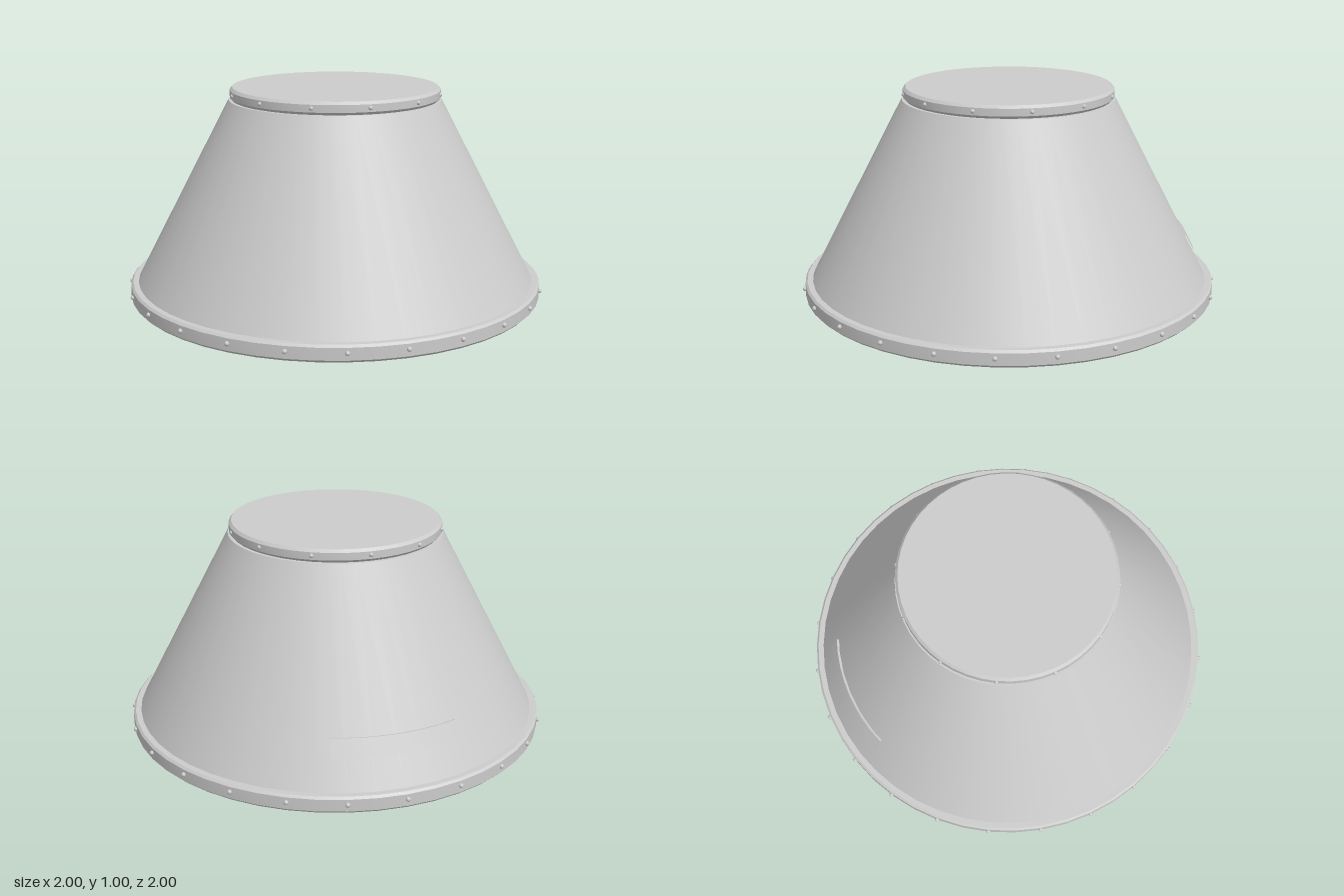
import * as THREE from 'three';
import { toCreasedNormals } from 'three/addons/utils/BufferGeometryUtils.js';

const SEGMENTS = 48;

export function createModel() {
  const model = new THREE.Group();
  model.name = 'taperedDrum';
  const grey = new THREE.MeshStandardMaterial({ color: 0xcccccc });

  // Turned part from [radius, height] pairs, running bottom to top
  function turned(name, profile, segments = SEGMENTS, start = 0, sweep = Math.PI * 2) {
    const points = profile.map(([r, y]) => new THREE.Vector2(r, y));
    const geometry = new THREE.LatheGeometry(points, segments, start, sweep);
    const mesh = new THREE.Mesh(toCreasedNormals(geometry, 0.4), grey);
    mesh.name = name;
    model.add(mesh);
  }

  // Ring of small round rivets around a band
  function rivetRing(name, count, radius, y, size) {
    const ring = new THREE.Group();
    ring.name = name;
    const geometry = new THREE.SphereGeometry(size, 12, 8);
    for (let i = 0; i < count; i++) {
      const a = (i / count) * Math.PI * 2;
      const rivet = new THREE.Mesh(geometry, grey);
      rivet.name = 'rivet';
      rivet.position.set(Math.sin(a) * radius, y, Math.cos(a) * radius);
      ring.add(rivet);
    }
    model.add(ring);
  }

  // Bevelled base band with closed underside
  turned('baseBand', [
    [0, 0], [0.975, 0], [0.987, 0.012], [0.987, 0.068], [0.977, 0.078], [0.93, 0.078],
  ]);

  // Sloping body, closed by a narrow shoulder
  turned('coneBody', [[0.955, 0.07], [0.503, 0.936], [0.47, 0.936]]);

  // Bevelled top band with flat lid
  turned('topBand', [
    [0.47, 0.93], [0.486, 0.936], [0.497, 0.948], [0.497, 0.982], [0.485, 0.995], [0, 0.995],
  ]);

  rivetRing('baseRivets', 24, 0.989, 0.045, 0.011);
  rivetRing('topRivets', 12, 0.496, 0.966, 0.01);

  // Thin curved plate low on the back of the cone
  const half = THREE.MathUtils.degToRad(19.5);
  turned('backPlate', [
    [0.87, 0.203], [0.893, 0.21], [0.854, 0.285], [0.83, 0.278],
  ], 8, Math.PI - half, half * 2);

  return model;
}
